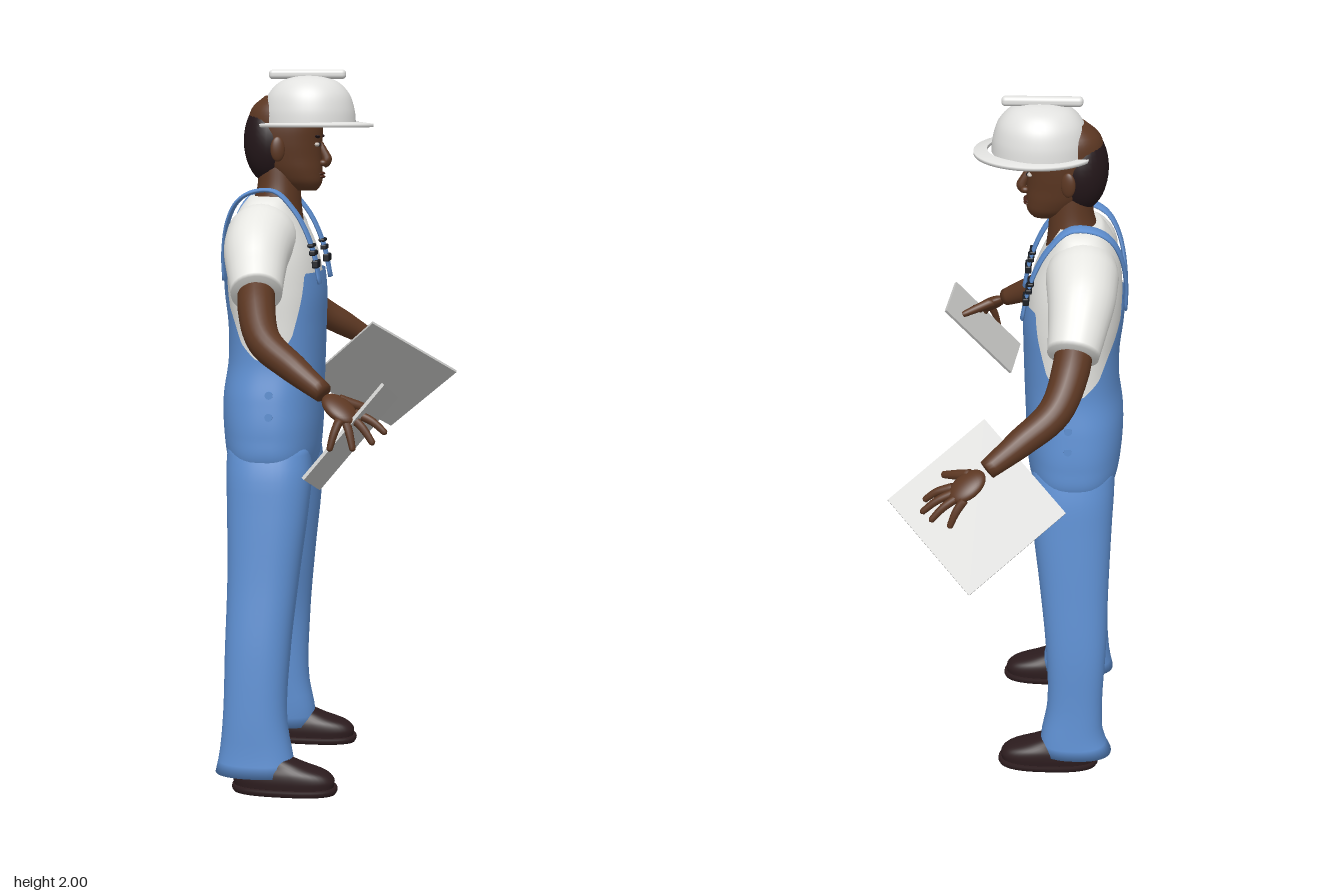
import * as THREE from 'three';
import { RoundedBoxGeometry } from 'three/addons/geometries/RoundedBoxGeometry.js';

const paint = (name, color, side = THREE.FrontSide) => {
  const m = new THREE.MeshStandardMaterial({ color, side });
  m.name = name;
  return m;
};
const V = (p) => new THREE.Vector3(p[0], p[1], p[2]);
const ZC = 0.014; // middle of the body
const HZ = 0.022; // middle of the head

// Closed skin over rings: f(u, v) gives a point, u runs round, v runs along
function skin(f, nu, nv, caps = true) {
  const pos = [], idx = [];
  for (let j = 0; j <= nv; j++) for (let i = 0; i < nu; i++) pos.push(...f(i / nu, j / nv));
  for (let j = 0; j < nv; j++) for (let i = 0; i < nu; i++) {
    const k = (i + 1) % nu, a = j * nu + i, c = j * nu + k;
    idx.push(a, a + nu, c, a + nu, c + nu, c);
  }
  if (caps) for (const j of [0, nv]) {
    const mid = [0, 0, 0], n = pos.length / 3;
    for (let i = 0; i < nu; i++) for (let q = 0; q < 3; q++) mid[q] += pos[(j * nu + i) * 3 + q] / nu;
    pos.push(...mid);
    for (let i = 0; i < nu; i++) {
      const a = j * nu + i, b = j * nu + (i + 1) % nu;
      idx.push(n, ...(j ? [b, a] : [a, b]));
    }
  }
  const g = new THREE.BufferGeometry();
  g.setAttribute('position', new THREE.Float32BufferAttribute(pos, 3));
  g.setIndex(idx);
  g.computeVertexNormals();
  return g;
}

// Rows of [y, back x, front x, low z, high z] become a smooth point function
function section(rows, n = 2.4) {
  const cubic = new THREE.CubicInterpolant(rows.map((r) => r[0]), rows.flatMap((r) => r.slice(1)), 4);
  return (u, y, off = 0) => {
    const [b, f, z0, z1] = cubic.evaluate(y);
    const t = u * Math.PI * 2, c = Math.cos(t), s = Math.sin(t);
    const pw = (q) => Math.sign(q) * Math.abs(q) ** (2 / n);
    return [(b + f) / 2 + ((f - b) / 2 + off) * pw(c), y, (z0 + z1) / 2 + ((z1 - z0) / 2 + off) * pw(s)];
  };
}
function loft(rows, n, nv = 28) {
  const f = section(rows, n), a = rows[0][0], b = rows[rows.length - 1][0];
  return skin((u, v) => f(u, a + (b - a) * v), 40, nv);
}
const even = (rows, zc) => rows.map(([y, b, f, h]) => [y, b, f, zc - h, zc + h]);

// Limb through [x, y, z, radius] points
function limb(pts, nu = 20, nv = 24) {
  const curve = new THREE.CatmullRomCurve3(pts.map(V));
  const { normals, binormals } = curve.computeFrenetFrames(nv);
  return skin((u, v) => {
    const q = v * (pts.length - 1), i = Math.min(Math.floor(q), pts.length - 2);
    const r = THREE.MathUtils.lerp(pts[i][3], pts[i + 1][3], q - i), j = Math.round(v * nv), t = u * Math.PI * 2;
    return curve.getPoint(v).addScaledVector(normals[j], r * Math.cos(t))
      .addScaledVector(binormals[j], -r * Math.sin(t)).toArray();
  }, nu, nv);
}

// Flat strap lying across z
function strap(pts, half, thick) {
  const curve = new THREE.CatmullRomCurve3(pts.map(V));
  return skin((u, v) => {
    const side = new THREE.Vector3(0, 0, 1), n = new THREE.Vector3().crossVectors(side, curve.getTangent(v)).normalize();
    const t = u * Math.PI * 2;
    return curve.getPoint(v).addScaledVector(n, thick * Math.cos(t)).addScaledVector(side, half * Math.sin(t)).toArray();
  }, 12, 40);
}

export function createModel() {
  const root = new THREE.Group();
  const denim = paint('denim blue', 0x5f90d2, THREE.DoubleSide), cotton = paint('white cotton', 0xe8e8e4);
  const skinTone = paint('brown skin', 0x5c3722), hairTone = paint('black hair', 0x24171a);
  const leather = paint('dark leather', 0x2c1c1e), shell = paint('helmet white', 0xe2e2e0, THREE.DoubleSide);
  const metal = paint('plate grey', 0xc2c2c0), black = paint('buckle black', 0x1b1e24);
  const eyeWhite = paint('eye white', 0xc9c0b8), lipTone = paint('lip brown', 0x4a2419);
  const add = (name, geo, mat, pos, scale) => {
    const m = new THREE.Mesh(geo, mat);
    m.name = name;
    if (pos) m.position.set(...pos);
    if (scale) m.scale.set(...scale);
    root.add(m);
    return m;
  };
  const ball = new THREE.SphereGeometry(1, 28, 20);

  // Torso: shirt and overalls share one surface
  const body = section(even([
    [0.87, -0.275, -0.07, 0.15], [0.92, -0.292, -0.052, 0.2], [1.0, -0.303, -0.042, 0.209], [1.1, -0.305, -0.038, 0.2],
    [1.2, -0.291, -0.034, 0.184], [1.3, -0.29, -0.031, 0.186], [1.4, -0.3, -0.03, 0.192], [1.5, -0.3, -0.046, 0.193],
    [1.57, -0.287, -0.075, 0.182], [1.62, -0.265, -0.1, 0.15], [1.655, -0.24, -0.115, 0.1]], ZC), 2.5);
  add('shirt', skin((u, v) => body(u, 1.1 + 0.555 * v, -0.005), 96, 36), cotton);
  // Top edge of the overalls, by degrees away from the front
  const edge = [[0, 1.45], [44, 1.45], [52, 1.38], [65, 1.28], [83, 1.215], [100, 1.215], [120, 1.26], [140, 1.36], [155, 1.44], [180, 1.46]];
  const topY = (u) => {
    const d = 360 * Math.min(u, 1 - u);
    const i = Math.max(1, edge.findIndex((e) => e[0] >= d)), [a, b] = [edge[i - 1], edge[i]];
    return THREE.MathUtils.mapLinear(d, a[0], b[0], a[1], b[1]);
  };
  const low = skin((u, v) => body(u, 0.87 + (topY(u) - 0.87) * v, 0.004), 128, 36, false);
  add('overalls', low, denim);

  // Trouser legs
  add('leftLeg', loft([[0.05, -0.298, -0.085, -0.262, -0.13], [0.1, -0.275, -0.088, -0.257, -0.124], [0.2, -0.268, -0.105, -0.25, -0.118],
    [0.4, -0.275, -0.1, -0.246, -0.105], [0.6, -0.278, -0.08, -0.231, -0.058], [0.8, -0.284, -0.056, -0.214, -0.008],
    [0.9, -0.288, -0.05, -0.204, 0.02], [0.98, -0.285, -0.06, -0.185, 0.02]]), denim);
  add('rightLeg', loft([[0.05, -0.308, -0.08, 0.17, 0.31], [0.1, -0.298, -0.09, 0.164, 0.304], [0.2, -0.288, -0.107, 0.153, 0.3],
    [0.4, -0.284, -0.1, 0.118, 0.286], [0.6, -0.281, -0.08, 0.078, 0.262], [0.8, -0.285, -0.056, 0.045, 0.243],
    [0.9, -0.289, -0.05, 0.02, 0.232], [0.98, -0.285, -0.06, 0.02, 0.21]]), denim);

  // Shoes
  for (const [side, z] of [['left', -0.195], ['right', 0.25]]) {
    add(side + 'Shoe', loft(even([[0.018, -0.252, 0.03, 0.054], [0.04, -0.256, 0.03, 0.055], [0.06, -0.25, 0.008, 0.052],
      [0.08, -0.24, -0.05, 0.045], [0.1, -0.235, -0.1, 0.04]], z), 2.6), leather);
    add(side + 'Sole', loft(even([[0, -0.255, 0.035, 0.056], [0.01, -0.26, 0.04, 0.059], [0.02, -0.258, 0.037, 0.057]], z), 2.6, 4), leather);
  }

  // Parts that repeat on both sides of the body
  for (const s of [-1, 1]) {
    const side = s < 0 ? 'left' : 'right', at = (x, y, z, r) => [x, y, ZC + s * z, r];
    add(side + 'Sleeve', limb([at(-0.185, 1.55, 0.04, 0.09), at(-0.186, 1.54, 0.12, 0.098), at(-0.185, 1.51, 0.2, 0.09),
      at(-0.176, 1.46, 0.265, 0.078), at(-0.165, 1.41, 0.325, 0.068)], 28), cotton);
    add(side + 'Strap', strap([at(-0.026, 1.42, 0.11), at(-0.042, 1.5, 0.108), at(-0.068, 1.57, 0.106), at(-0.098, 1.62, 0.105),
      at(-0.15, 1.67, 0.103), at(-0.21, 1.67, 0.1), at(-0.255, 1.645, 0.092), at(-0.287, 1.59, 0.075),
      at(-0.305, 1.5, 0.05), at(-0.306, 1.42, 0.035)], 0.024, 0.006), denim);
    for (const [y, h] of [[1.475, 0.022], [1.505, 0.014], [1.525, 0.01]])
      add(side + 'Buckle', new RoundedBoxGeometry(0.018, h, 0.054, 2, 0.004), black, at(-0.036 - (y - 1.475) * 0.25, y, 0.11));
    for (const y of [1.12, 1.06]) {
      const b = add(side + 'HipButton', new THREE.CylinderGeometry(0.011, 0.011, 0.008, 16), denim, at(-0.155, y, 0.2 + (1.12 - y) * 0.12));
      b.rotation.x = Math.PI / 2;
    }
  }

  // Arms and hands
  function arm(side, path, palm, across, tips, thumb) {
    add(side + 'Arm', limb(path), skinTone);
    const d = V(palm).sub(V(path[path.length - 1])).normalize(), n = d.clone().cross(V(across)).normalize(), a = n.clone().cross(d);
    const p = add(side + 'Palm', ball, skinTone, palm, [0.055, 0.038, 0.019]);
    p.quaternion.setFromRotationMatrix(new THREE.Matrix4().makeBasis(d, a, n));
    tips.forEach((tip, i) => {
      const base = V(palm).addScaledVector(d, 0.03).addScaledVector(a, 0.027 - i * 0.018);
      const mid = base.clone().lerp(V(tip), 0.55).add(new THREE.Vector3(0, 0.008, 0));
      add(side + 'Finger', limb([[...base.toArray(), 0.012], [...mid.toArray(), 0.0105], [...V(tip).lerp(mid, 0.1).toArray(), 0.008],
        [...tip, 0.002]], 10, 12), skinTone);
    });
    const root0 = V(palm).addScaledVector(d, -0.025).addScaledVector(a, 0.022), mid = root0.clone().lerp(V(thumb), 0.5);
    add(side + 'Thumb', limb([[...root0.toArray(), 0.015], [...mid.toArray(), 0.013], [...V(thumb).lerp(mid, 0.1).toArray(), 0.009],
      [...thumb, 0.002]], 10, 12), skinTone);
  }
  arm('right', [[-0.172, 1.46, 0.27, 0.05], [-0.16, 1.38, 0.37, 0.05], [-0.125, 1.3, 0.455, 0.045], [-0.04, 1.24, 0.515, 0.038], [0.045, 1.185, 0.565, 0.026]],
    [0.09, 1.15, 0.593], [0.5, 0.3, -0.8], [[0.21, 1.09, 0.6], [0.18, 1.065, 0.62], [0.13, 1.05, 0.637], [0.07, 1.05, 0.645]], [0.18, 1.135, 0.535]);
  arm('left', [[-0.172, 1.46, -0.23, 0.05], [-0.16, 1.38, -0.335, 0.05], [-0.12, 1.3, -0.42, 0.045], [-0.035, 1.24, -0.475, 0.038], [0.05, 1.185, -0.523, 0.026]],
    [0.1, 1.15, -0.548], [0.5, 0.3, 0.8], [[0.215, 1.095, -0.53], [0.22, 1.075, -0.56], [0.195, 1.065, -0.585], [0.145, 1.055, -0.6]], [0.17, 1.145, -0.48]);

  // Held plates, each from one corner and its two neighbours
  function plate(name, corner, b, d) {
    const u = V(b).sub(V(corner)), v = V(d).sub(V(corner)), lu = u.length(), lv = v.length();
    const n = v.clone().cross(u).normalize();
    const m = add(name, new THREE.BoxGeometry(lu, 0.009, lv), metal, V(b).add(V(d)).multiplyScalar(0.5).toArray());
    m.quaternion.setFromRotationMatrix(new THREE.Matrix4().makeBasis(u.normalize(), n, u.clone().cross(n)));
  }
  plate('leftPlate', [0.065, 1.255, -0.38], [0.31, 1.09, -0.525], [-0.155, 1.06, -0.52]);
  plate('rightPlate', [0.2, 1.218, 0.6], [0.225, 1.17, 0.492], [0.006, 0.98, 0.655]);

  // Neck and head
  add('neck', loft(even([[1.57, -0.25, -0.085, 0.088], [1.63, -0.23, -0.092, 0.077], [1.68, -0.215, -0.095, 0.067], [1.75, -0.21, -0.1, 0.06]], HZ), 2.1), skinTone);
  add('head', loft(even([[1.67, -0.115, -0.05, 0.026], [1.685, -0.145, -0.037, 0.045], [1.72, -0.19, -0.033, 0.062], [1.76, -0.228, -0.034, 0.071],
    [1.8, -0.238, -0.034, 0.077], [1.85, -0.24, -0.033, 0.079], [1.9, -0.225, -0.05, 0.07], [1.93, -0.19, -0.08, 0.045]], HZ), 2.2), skinTone);
  add('hair', ball, hairTone, [-0.177, 1.805, HZ], [0.075, 0.118, 0.081]);
  add('noseBridge', limb([[-0.04, 1.805, HZ, 0.006], [-0.03, 1.78, HZ, 0.011], [-0.02, 1.752, HZ, 0.015], [-0.03, 1.738, HZ, 0.009]], 14, 14), skinTone);
  add('upperLip', ball, lipTone, [-0.036, 1.717, HZ], [0.011, 0.005, 0.024]);
  add('lowerLip', ball, lipTone, [-0.036, 1.708, HZ], [0.011, 0.005, 0.02]);
  for (const s of [-1, 1]) {
    add('eye', ball, eyeWhite, [-0.043, 1.797, HZ + s * 0.033], [0.008, 0.006, 0.013]);
    add('pupil', ball, black, [-0.038, 1.797, HZ + s * 0.033], [0.005, 0.0055, 0.0055]);
    const brow = add('eyebrow', ball, hairTone, [-0.042, 1.818, HZ + s * 0.035], [0.008, 0.004, 0.02]);
    brow.rotation.set(-s * 0.15, s * 0.25, 0);
    add('nostril', ball, skinTone, [-0.03, 1.746, HZ + s * 0.013], [0.012, 0.009, 0.009]);
    const ear = add('ear', ball, skinTone, [-0.145, 1.785, HZ + s * 0.081], [0.02, 0.034, 0.01]);
    ear.rotation.y = s * 0.3;
  }

  // Hard hat: dome, brim and top ridge
  const lathe = (pts) => new THREE.LatheGeometry(new THREE.SplineCurve(pts.map((p) => new THREE.Vector2(...p))).getPoints(30), 48);
  add('helmetDome', lathe([[1, 0], [0.97, 0.3], [0.86, 0.62], [0.63, 0.86], [0.32, 0.97], [0, 1]]), shell, [-0.07, 1.852, HZ], [0.13, 0.132, 0.118]);
  const brim = [[0.78, 0.008], [0.78, 0], [1, -0.006], [1, 0.003], [0.78, 0.008]].map((p) => new THREE.Vector2(...p));
  add('helmetBrim', new THREE.LatheGeometry(brim, 48), shell, [-0.056, 1.85, HZ], [0.164, 1, 0.14]);
  add('helmetRidge', new RoundedBoxGeometry(0.214, 0.026, 0.027, 4, 0.011), shell, [-0.074, 1.987, HZ]);
  return root;
}
